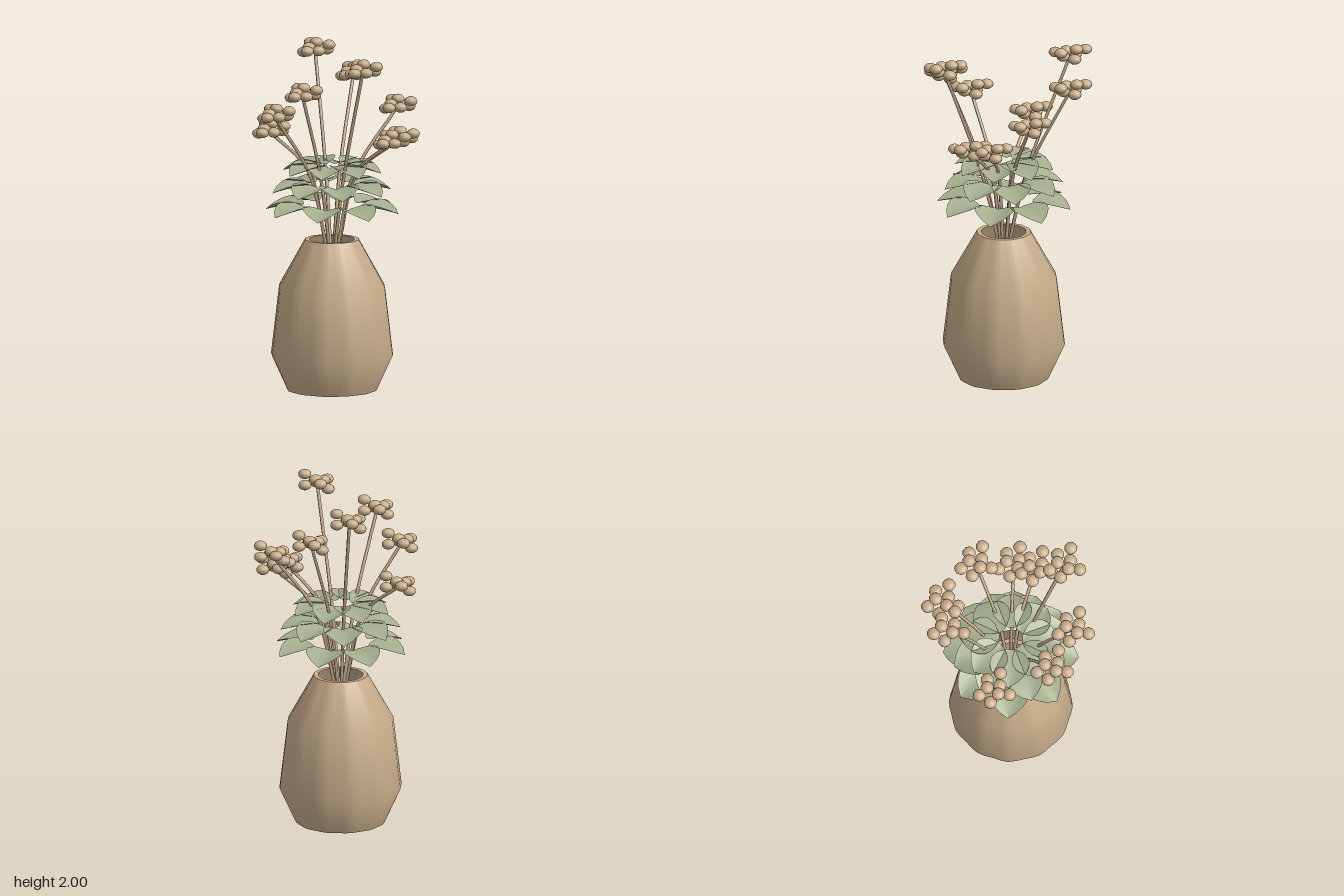
import * as THREE from 'three';
import { mergeVertices } from 'three/addons/utils/BufferGeometryUtils.js';

const material = (name, color, side = THREE.FrontSide) => {
  const m = new THREE.MeshStandardMaterial({ color, side });
  m.name = name;
  return m;
};

// Lathe with softly scalloped walls and smooth normals
function lobedLathe(points, lobes = 12, depth = 0.013) {
  let g = new THREE.LatheGeometry(points.map(p => new THREE.Vector2(...p)), lobes * 4);
  g.deleteAttribute('uv');
  g.deleteAttribute('normal');
  const p = g.attributes.position;
  for (let i = 0; i < p.count; i++) {
    const x = p.getX(i), z = p.getZ(i);
    const k = 1 + depth * Math.cos(lobes * Math.atan2(z, x));
    p.setXYZ(i, x * k, p.getY(i), z * k);
  }
  g = mergeVertices(g, 1e-5);
  g.computeVertexNormals();
  return g;
}

// Rounded leaf along +x, edges lifted, pointed tip drooping
function leafGeometry(length, halfWidth) {
  const g = new THREE.PlaneGeometry(1, 1, 4, 8);
  const p = g.attributes.position;
  for (let i = 0; i < p.count; i++) {
    const s = p.getX(i) * 2, t = p.getY(i) + 0.5;
    const w = halfWidth * Math.pow(Math.max(0, Math.sin(Math.PI * Math.pow(t, 0.9))), 0.7) + 0.02 * (1 - t);
    const lift = 0.035 * Math.pow(Math.abs(s), 1.5) * (w / halfWidth);
    p.setXYZ(i, length * t, lift + 0.01 - 0.035 * t * t, s * w);
  }
  g.computeVertexNormals();
  return g;
}

export function createModel() {
  const model = new THREE.Group();
  model.name = 'driedFlowerVase';
  const clay = material('warm tan', 0xc8ad8b);
  const green = material('sage green', 0xa5ae8d, THREE.DoubleSide);
  const cx = -0.018, cz = 0.006;

  const add = (parent, name, geometry, mat) => {
    const mesh = new THREE.Mesh(geometry, mat);
    mesh.name = name;
    parent.add(mesh);
    return mesh;
  };

  // Vase: outer wall, foot, rim and inner wall
  const vase = new THREE.Group();
  vase.name = 'vase';
  vase.position.set(cx, 0, cz);
  model.add(vase);
  add(vase, 'vaseWall', lobedLathe([[0.26, 0], [0.355, 0.21], [0.308, 0.61], [0.156, 0.885]]), clay);
  add(vase, 'vaseFoot', lobedLathe([[0, 0], [0.26, 0]]), clay);
  add(vase, 'vaseRim', lobedLathe([[0.156, 0.885], [0.13, 0.885]]), clay);
  add(vase, 'vaseInside', lobedLathe([[0.13, 0.885], [0.28, 0.6], [0.32, 0.22], [0.23, 0.03], [0, 0.03]]), clay);

  // Three staggered rings of leaves: height, tip radius, turn
  const leaf = leafGeometry(0.225, 0.105);
  const step = Math.PI / 4;
  [[1.07, 0.395, 0], [1.19, 0.35, step / 2], [1.305, 0.292, 0]].forEach(([y, radius, turn]) => {
    const ring = new THREE.Group();
    ring.name = 'leafRing';
    ring.position.set(cx, y, cz);
    model.add(ring);
    for (let i = 0; i < 8; i++) {
      const a = turn + i * step;
      const mesh = add(ring, 'leaf', leaf, green);
      mesh.rotation.y = a;
      mesh.position.set((radius - 0.225) * Math.cos(a), 0, -(radius - 0.225) * Math.sin(a));
    }
  });

  // Berry positions within every flower head
  const berries = [
    [0, 0.008, 0], [-0.016, 0.018, -0.11], [0.029, 0.028, -0.066], [0.093, -0.012, -0.068],
    [-0.041, -0.028, -0.044], [0.059, -0.01, 0.007], [0.12, 0.03, 0.008], [0.003, -0.005, 0.065],
  ];
  const berry = new THREE.SphereGeometry(0.039, 10, 8);
  berry.scale(1, 0.75, 1);

  // Flower heads, placed by their middle berry
  const heads = [
    [-0.008, 1.8, -0.367], [-0.225, 1.94, -0.323], [-0.433, 1.5, -0.049],
    [-0.332, 1.65, 0.282], [-0.145, 1.8, 0.397], [0.197, 1.94, 0.332],
    [0.351, 1.5, 0.03], [0.329, 1.5, 0.162], [0.29, 1.65, -0.186],
  ];
  heads.forEach(([x, y, z]) => {
    const flower = new THREE.Group();
    flower.name = 'flower';
    model.add(flower);

    // Stem bends outward from the vase to the head
    const tip = new THREE.Vector3(x + 0.031, y - 0.015, z - 0.026);
    const out = new THREE.Vector3(tip.x - cx, 0, tip.z - cz).normalize();
    const at = (r, h) => new THREE.Vector3(cx + out.x * r, h, cz + out.z * r);
    const path = new THREE.CatmullRomCurve3([at(0.012, 0.68), at(0.055, 0.92), at(0.15, 1.28), tip]);
    add(flower, 'stem', new THREE.TubeGeometry(path, 14, 0.01, 6), clay);

    const head = new THREE.Group();
    head.name = 'flowerHead';
    head.position.set(x, y, z);
    flower.add(head);
    berries.forEach(b => add(head, 'berry', berry, clay).position.set(...b));
  });
  return model;
}
